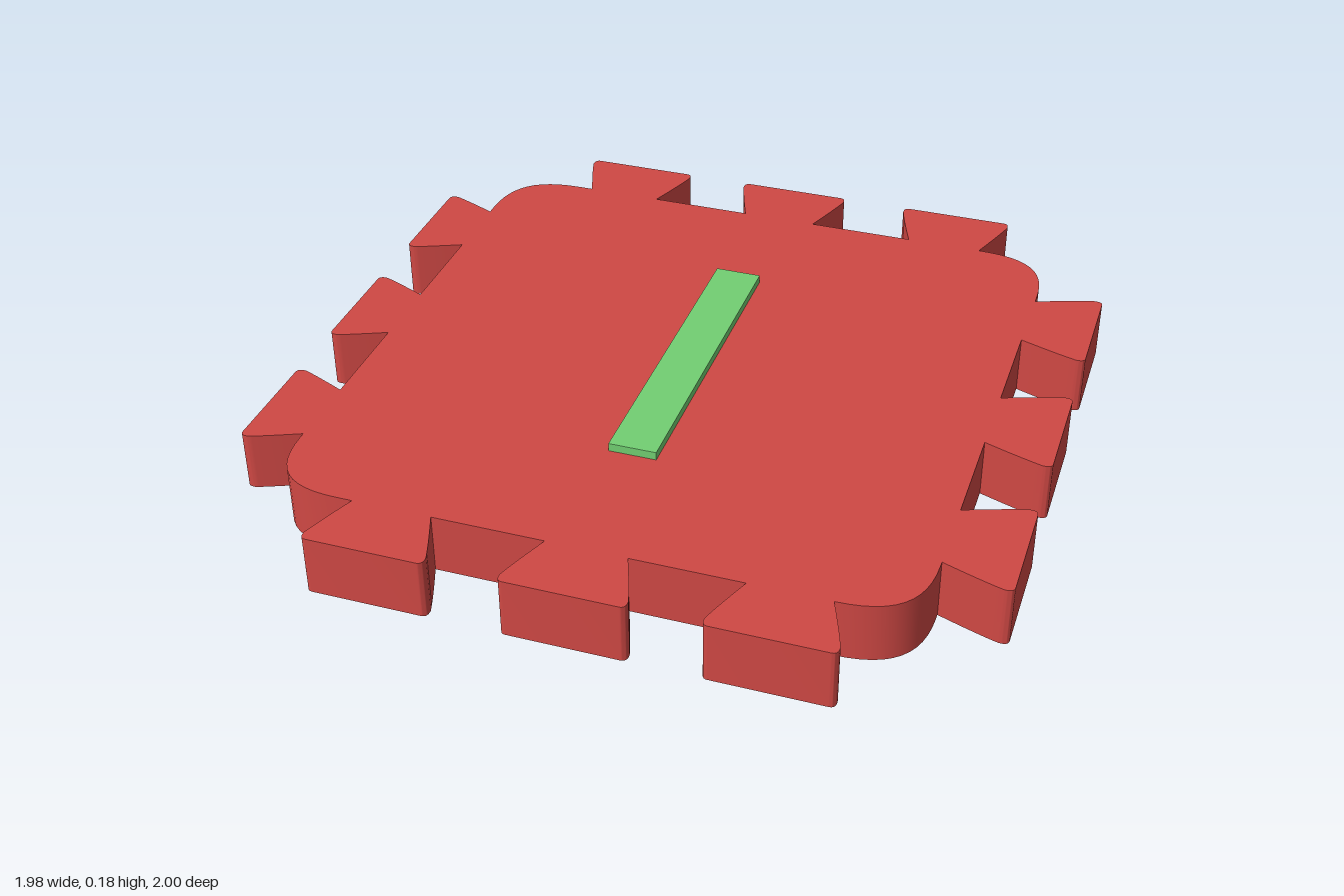
import * as THREE from 'three';
import { toCreasedNormals } from 'three/addons/utils/BufferGeometryUtils.js';

const X0 = -0.84, X1 = 0.805, Z0 = -0.82, Z1 = 0.83; // body edges
const HEIGHT = 0.16, CORNER = 0.2;
const ROOT = 0.104, TIP = 0.157; // half widths of a tab

// Plate outline, anticlockwise, with shape y = -z
function plateOutline() {
  const shape = new THREE.Shape();
  // Each side: start corner, direction along it, length, tab centres along it, tab depth
  const sides = [
    { at: [X0, -Z1], dir: [1, 0], len: X1 - X0, tabs: [-0.495, 0.005, 0.5].map(x => x - X0), depth: 0.17 },
    { at: [X1, -Z1], dir: [0, 1], len: Z1 - Z0, tabs: [0.512, 0.012, -0.488].map(z => Z1 - z), depth: 0.18 },
    { at: [X1, -Z0], dir: [-1, 0], len: X1 - X0, tabs: [0.495, -0.005, -0.495].map(x => X1 - x), depth: 0.18 },
    { at: [X0, -Z0], dir: [0, -1], len: Z1 - Z0, tabs: [-0.488, 0.012, 0.512].map(z => z - Z0), depth: 0.15 },
  ];
  sides.forEach(({ at, dir, len, tabs, depth }, i) => {
    // s runs along the side, d points outwards
    const p = (s, d) => [at[0] + dir[0] * s + dir[1] * d, at[1] + dir[1] * s - dir[0] * d];
    if (i === 0) shape.moveTo(...p(CORNER, 0));
    for (const c of tabs) {
      shape.lineTo(...p(c - ROOT, 0));
      shape.quadraticCurveTo(...p(c - 0.143, depth * 0.58), ...p(c - TIP, depth - 0.025));
      shape.quadraticCurveTo(...p(c - TIP - 0.003, depth), ...p(c - TIP + 0.015, depth));
      shape.lineTo(...p(c + TIP - 0.015, depth));
      shape.quadraticCurveTo(...p(c + TIP + 0.003, depth), ...p(c + TIP, depth - 0.025));
      shape.quadraticCurveTo(...p(c + 0.143, depth * 0.58), ...p(c + ROOT, 0));
    }
    // Squarish rounded corner into the next side
    shape.lineTo(...p(len - CORNER, 0));
    const k = CORNER * 0.3;
    shape.bezierCurveTo(...p(len - k, 0), ...p(len, -k), ...p(len, -CORNER));
  });
  return shape;
}

export function createModel() {
  const model = new THREE.Group();

  // Interlocking tile with flared tabs on every side
  const geometry = new THREE.ExtrudeGeometry(plateOutline(), { depth: HEIGHT, bevelEnabled: false, curveSegments: 12 });
  geometry.rotateX(-Math.PI / 2);
  const plate = new THREE.Mesh(toCreasedNormals(geometry, 0.6), new THREE.MeshStandardMaterial({ color: 0xcf4844 }));
  plate.name = 'tabbedPlate';
  model.add(plate);

  // Raised strip on the top face
  const strip = new THREE.Mesh(new THREE.BoxGeometry(0.126, 0.022, 0.896), new THREE.MeshStandardMaterial({ color: 0x72cf72 }));
  strip.position.set(-0.018, HEIGHT + 0.011, -0.004);
  strip.name = 'raisedStrip';
  model.add(strip);

  return model;
}
